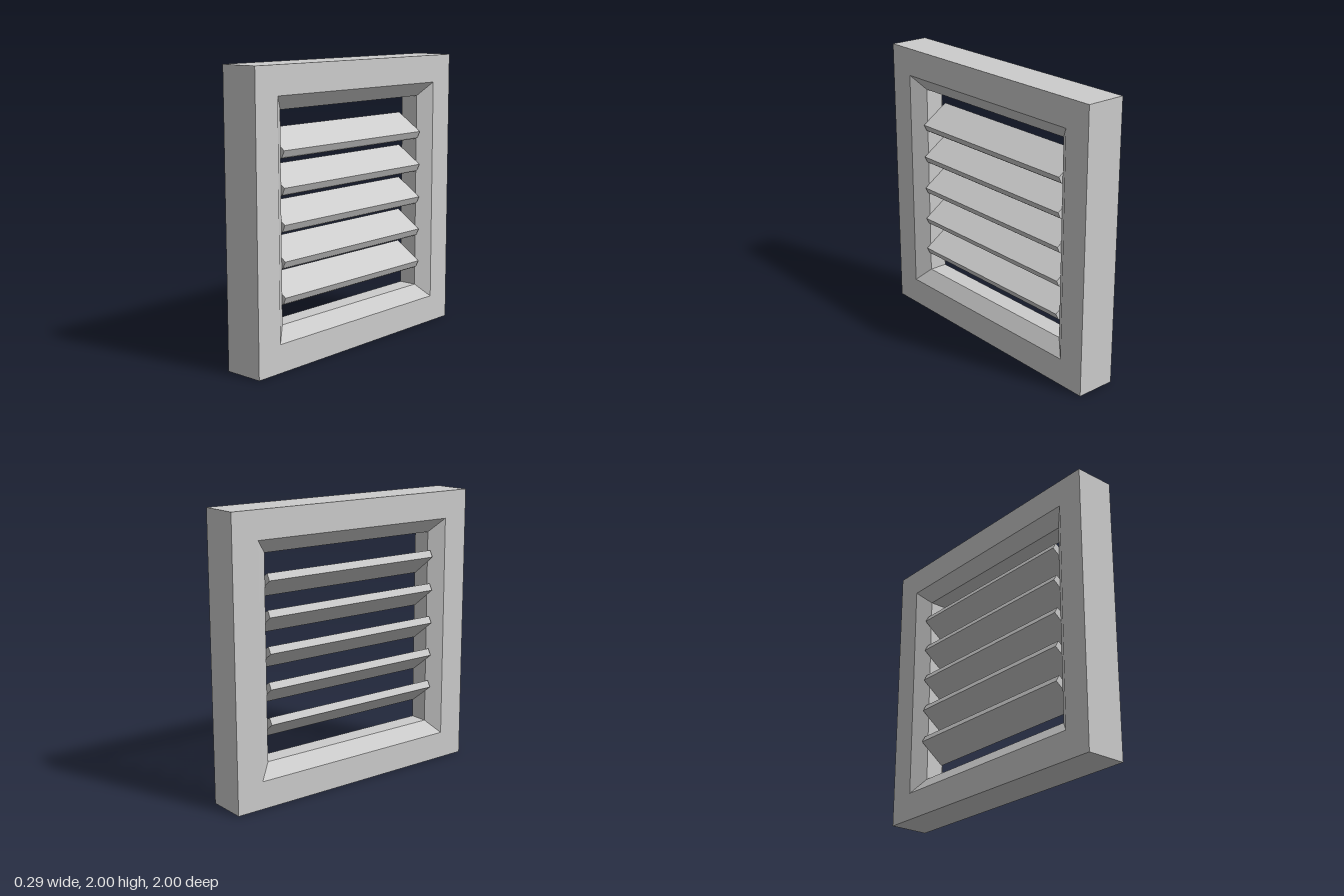
import * as THREE from 'three';

const material = new THREE.MeshStandardMaterial({ color: 0xcccccc, flatShading: true });

// Square mitred frame: one closed section swept around four corners
function createFrame() {
  const half = 0.143, flat = 0.067;
  const section = [
    [1, -half], [1, half], [0.805, half], [0.708, flat],
    [0.708, -flat], [0.805, -half], [1, -half],
  ].map(([r, d]) => new THREE.Vector2(r * Math.SQRT2, d));
  const geometry = new THREE.LatheGeometry(section, 4, Math.PI / 4);
  geometry.rotateZ(-Math.PI / 2);
  const frame = new THREE.Mesh(geometry, material);
  frame.name = 'frame';
  frame.position.y = 1;
  return frame;
}

// Tilted slat section, falling towards +x, with a small chamfer under its front edge
function createSlatGeometry() {
  const shape = new THREE.Shape([
    [-0.095, 0.093], [-0.12, 0.047], [0.062, -0.092], [0.08, -0.08], [0.1, -0.037],
  ].map(([x, y]) => new THREE.Vector2(x, y)));
  const length = 1.416;
  const geometry = new THREE.ExtrudeGeometry(shape, { depth: length, bevelEnabled: false });
  geometry.translate(0, 0, -length / 2);
  return geometry;
}

export function createModel() {
  const model = new THREE.Group();
  model.name = 'louverVent';
  model.add(createFrame());

  // Five evenly spaced slats
  const slatGeometry = createSlatGeometry();
  for (let i = 0; i < 5; i++) {
    const slat = new THREE.Mesh(slatGeometry, material);
    slat.name = `slat${i + 1}`;
    slat.position.y = 1 + (i - 2) * 0.2425;
    model.add(slat);
  }
  return model;
}
